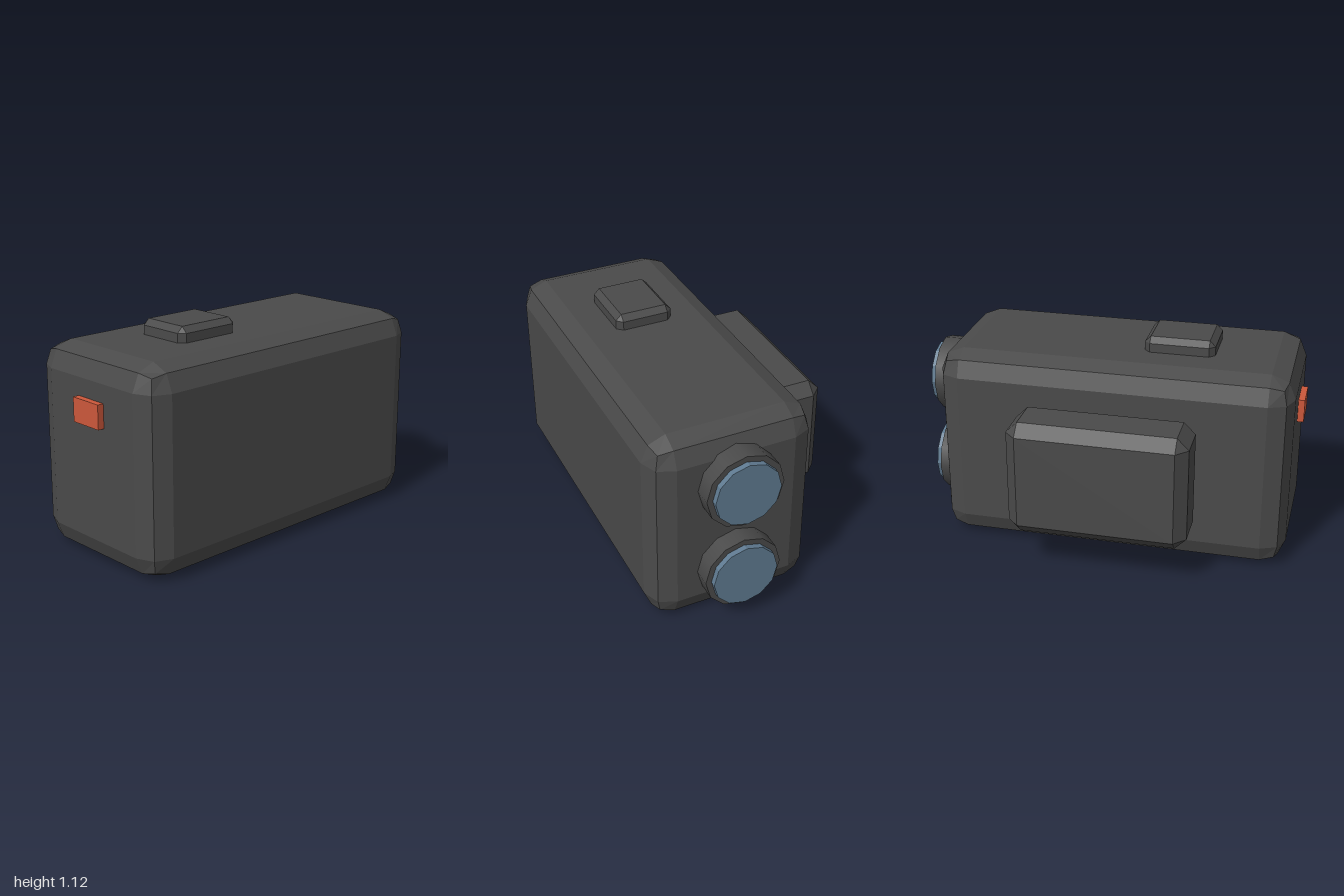
import * as THREE from 'three';
import { RoundedBoxGeometry } from 'three/addons/geometries/RoundedBoxGeometry.js';
import { ConvexGeometry } from 'three/addons/geometries/ConvexGeometry.js';

// Box with every edge cut by a single chamfer c
function chamferBox(w, h, d, c) {
  const points = [];
  for (const x of [-1, 1]) for (const y of [-1, 1]) for (const z of [-1, 1]) {
    for (let axis = 0; axis < 3; axis++) {
      points.push(new THREE.Vector3(
        x * (w / 2 - (axis === 0 ? 0 : c)),
        y * (h / 2 - (axis === 1 ? 0 : c)),
        z * (d / 2 - (axis === 2 ? 0 : c))
      ));
    }
  }
  return new ConvexGeometry(points);
}

export function createModel() {
  const group = new THREE.Group();
  const material = (name, color, flatShading) => {
    const m = new THREE.MeshStandardMaterial({ color, flatShading });
    m.name = name;
    return m;
  };
  const casing = material('charcoal casing', 0x4a4a4a, true);
  const rim = material('charcoal rim', 0x4a4a4a, false);
  const glass = material('blue glass', 0x5f7a90, true);
  const red = material('red indicator', 0xcc583b, true);

  const add = (name, geometry, mat, x, y, z) => {
    const mesh = new THREE.Mesh(geometry, mat);
    mesh.name = name;
    mesh.position.set(x, y, z);
    group.add(mesh);
    return mesh;
  };

  // Main housing with two-step bevels
  add('body', new RoundedBoxGeometry(0.86, 1.046, 1.845, 1, 0.125), casing, 0.152, 0.526, 0.0445);

  // Side pack and top button
  add('sidePack', chamferBox(0.308, 0.612, 0.922, 0.06), casing, -0.431, 0.526, 0.042);
  add('topButton', chamferBox(0.306, 0.154, 0.366, 0.03), casing, 0.152, 1.049, 0.351);

  // Front indicator
  add('indicator', new THREE.BoxGeometry(0.185, 0.122, 0.062), red, 0.152, 0.771, 0.969);

  // Two rear lenses, each a rim with a glass disc
  for (const [name, y] of [['upper', 0.772], ['lower', 0.279]]) {
    const ring = add(name + 'LensRim', new THREE.CylinderGeometry(0.2, 0.2, 0.18, 12), rim, 0.152, y, -0.88);
    const lens = add(name + 'LensGlass', new THREE.CylinderGeometry(0.17, 0.17, 0.06, 12), glass, 0.152, y, -0.97);
    ring.rotation.x = lens.rotation.x = -Math.PI / 2;
  }
  return group;
}
